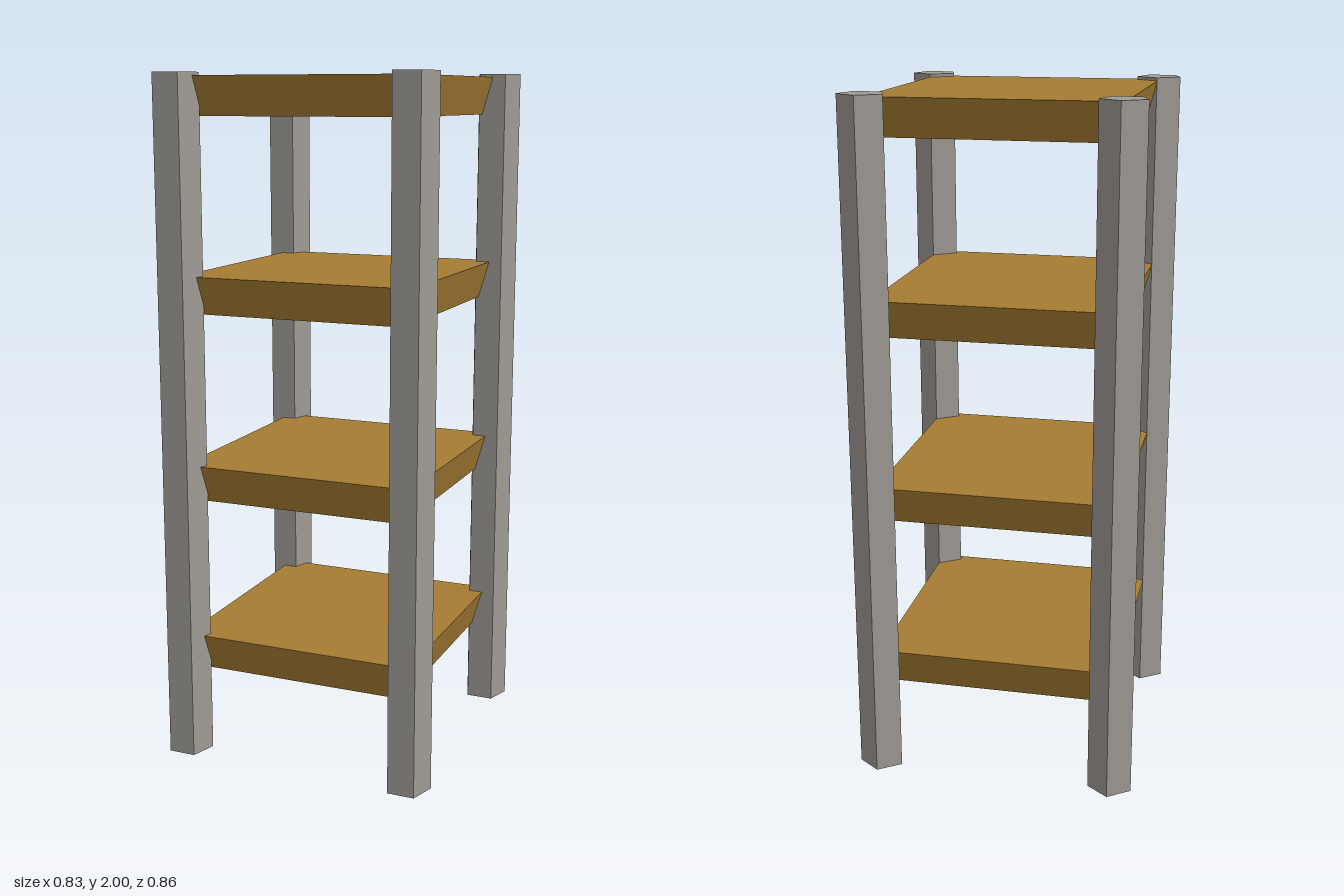
import * as THREE from 'three';

const wood = new THREE.MeshStandardMaterial({ color: 0xa67c33 });
wood.name = 'wood';
const stone = new THREE.MeshStandardMaterial({ color: 0x9f9b95 });
stone.name = 'grey post';

// Gives every face its own flat normal
function faceted(geometry) {
  const flat = geometry.toNonIndexed();
  flat.computeVertexNormals();
  return flat;
}

function addPart(group, name, geometry, material, x, y, z) {
  const mesh = new THREE.Mesh(geometry, material);
  mesh.name = name;
  mesh.position.set(x, y, z);
  group.add(mesh);
}

export function createModel() {
  const group = new THREE.Group();
  group.name = 'shelfRack';

  // Five-sided posts, each with a ridge towards the back
  const post = faceted(new THREE.CylinderGeometry(0.068, 0.068, 2, 5, 1, false, Math.PI));
  for (const [side, x] of [['Left', 0.351], ['Right', -0.351]]) {
    addPart(group, 'front' + side + 'Post', post, stone, x, 1, 0.376);
    addPart(group, 'back' + side + 'Post', post, stone, x, 1, -0.364);
  }

  // Square shelves whose edges slope inwards towards the underside
  const shelfGeometry = new THREE.CylinderGeometry(Math.SQRT1_2, Math.SQRT1_2 * 0.91, 0.11, 4, 1, false, Math.PI / 4);
  shelfGeometry.scale(0.704, 1, 0.74);
  const shelf = faceted(shelfGeometry);
  [0.309, 0.829, 1.381, 1.936].forEach((y, i) => {
    addPart(group, 'shelf' + (i + 1), shelf, wood, 0, y, 0.01);
  });

  return group;
}
